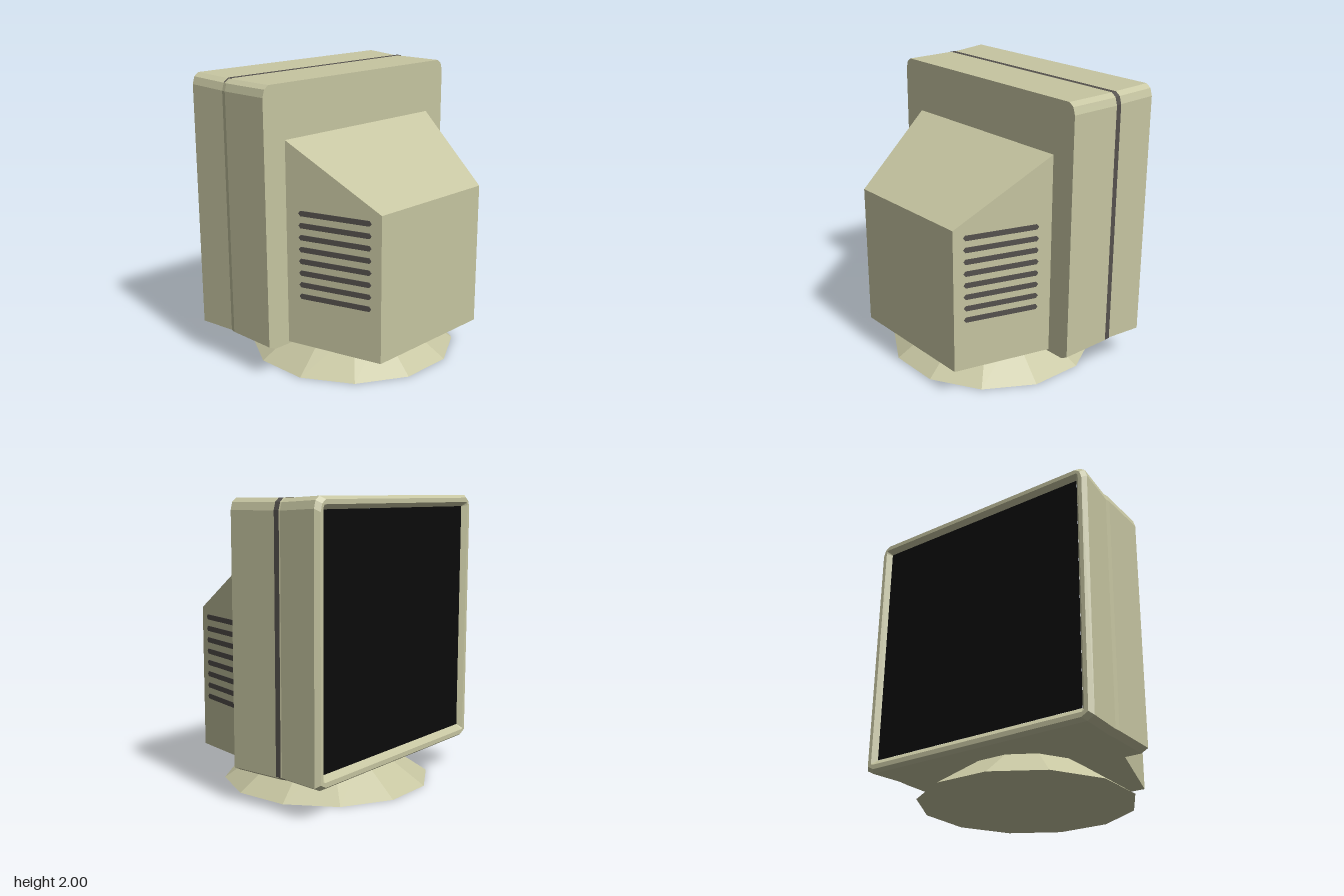
import * as THREE from 'three';

const flat = (color, name) => {
  const m = new THREE.MeshStandardMaterial({ color });
  m.name = name;
  m.flatShading = true;
  return m;
};

// Joins cross-sections (arrays of [x, y, z], running from +z to -z), with an optional cap on the first.
function loft(rings, cap = true) {
  const p = [];
  const n = rings[0].length;
  for (let s = 0; s < rings.length - 1; s++) {
    for (let i = 0; i < n; i++) {
      const j = (i + 1) % n;
      const a = rings[s][i], b = rings[s][j], c = rings[s + 1][i], d = rings[s + 1][j];
      p.push(...a, ...c, ...b, ...b, ...c, ...d);
    }
  }
  if (cap) for (let i = 1; i < n - 1; i++) p.push(...rings[0][0], ...rings[0][i], ...rings[0][i + 1]);
  const g = new THREE.BufferGeometry();
  g.setAttribute('position', new THREE.Float32BufferAttribute(p, 3));
  g.computeVertexNormals();
  return g;
}

// Casing section: rounded upper corners, small bevel on the lower ones; k scales the corners.
function casingRing(z, w, y0, y1, k = 1, cx = 0) {
  const half = [
    [w - 0.05 * k, y0], [w, y0 + 0.027 * k],
    [w, y1 - 0.075 * k], [w - 0.015 * k, y1 - 0.025 * k], [w - 0.05 * k, y1],
  ];
  const mirrored = half.map(([x, y]) => [-x, y]).reverse();
  return [...half, ...mirrored].map(([x, y]) => [x + cx, y, z]);
}

export function createModel() {
  const group = new THREE.Group();
  const beige = flat(0xc6c5a1, 'beige plastic');
  const dark = flat(0x55514d, 'dark grey');
  dark.side = THREE.DoubleSide;
  const black = flat(0x0b0b0b, 'black glass');

  const add = (name, geometry, material) => {
    const mesh = new THREE.Mesh(geometry, material);
    mesh.name = name;
    group.add(mesh);
    return mesh;
  };

  // Casing with flared bezel and recessed screen surround
  add('casing', loft([
    casingRing(0.067, 0.877, 0.215, 1.985),
    casingRing(-0.3, 0.877, 0.215, 1.985),
    casingRing(-0.335, 0.87, 0.217, 1.985),
    casingRing(-0.615, 0.892, 0.21, 2.0),
    casingRing(-0.645, 0.867, 0.23, 1.98),
    casingRing(-0.645, 0.84, 0.262, 1.95, 0.3),
    casingRing(-0.61, 0.81, 0.3, 1.92, 0.05),
  ]), beige);

  // Seam around the casing
  add('seam', loft([
    casingRing(-0.297, 0.875, 0.222, 1.989, 1, 0.008),
    casingRing(-0.336, 0.875, 0.222, 1.989, 1, 0.008),
  ], false), dark);

  // Screen
  const screen = add('screen', new THREE.PlaneGeometry(1.62, 1.62), black);
  screen.position.set(0, 1.11, -0.611);
  screen.rotation.y = Math.PI;

  // Tapered tube housing
  const rect = (z, w, y0, y1) => [[w, y0, z], [w, y1, z], [-w, y1, z], [-w, y0, z]];
  add('tubeHousing', loft([rect(0.722, 0.5, 0.21, 1.21), rect(0.06, 0.703, 0.23, 1.625)]), beige);

  // Vent slots on both slanted sides
  const L = 0.262, H = 0.018;
  const slot = new THREE.Shape([
    [-L, 0], [-L + 0.014, -H], [L - 0.014, -H], [L, 0], [L - 0.014, H], [-L + 0.014, H],
  ].map(([x, y]) => new THREE.Vector2(x, y)));
  const slotGeometry = new THREE.ExtrudeGeometry(slot, { depth: 0.005, bevelEnabled: false });
  for (const side of [1, -1]) {
    for (let i = 0; i < 8; i++) {
      const vent = add('ventSlot', slotGeometry, dark);
      vent.position.set(side * 0.597, 0.577 + i * 0.0817, 0.405);
      vent.rotation.y = side * Math.atan2(0.65, 0.2);
    }
  }

  // Twelve-sided foot
  const foot = add('foot', new THREE.CylinderGeometry(0.392, 0.735, 0.23, 12), beige);
  foot.position.set(0, 0.115, -0.01);
  foot.rotation.y = Math.PI / 12;

  return group;
}
